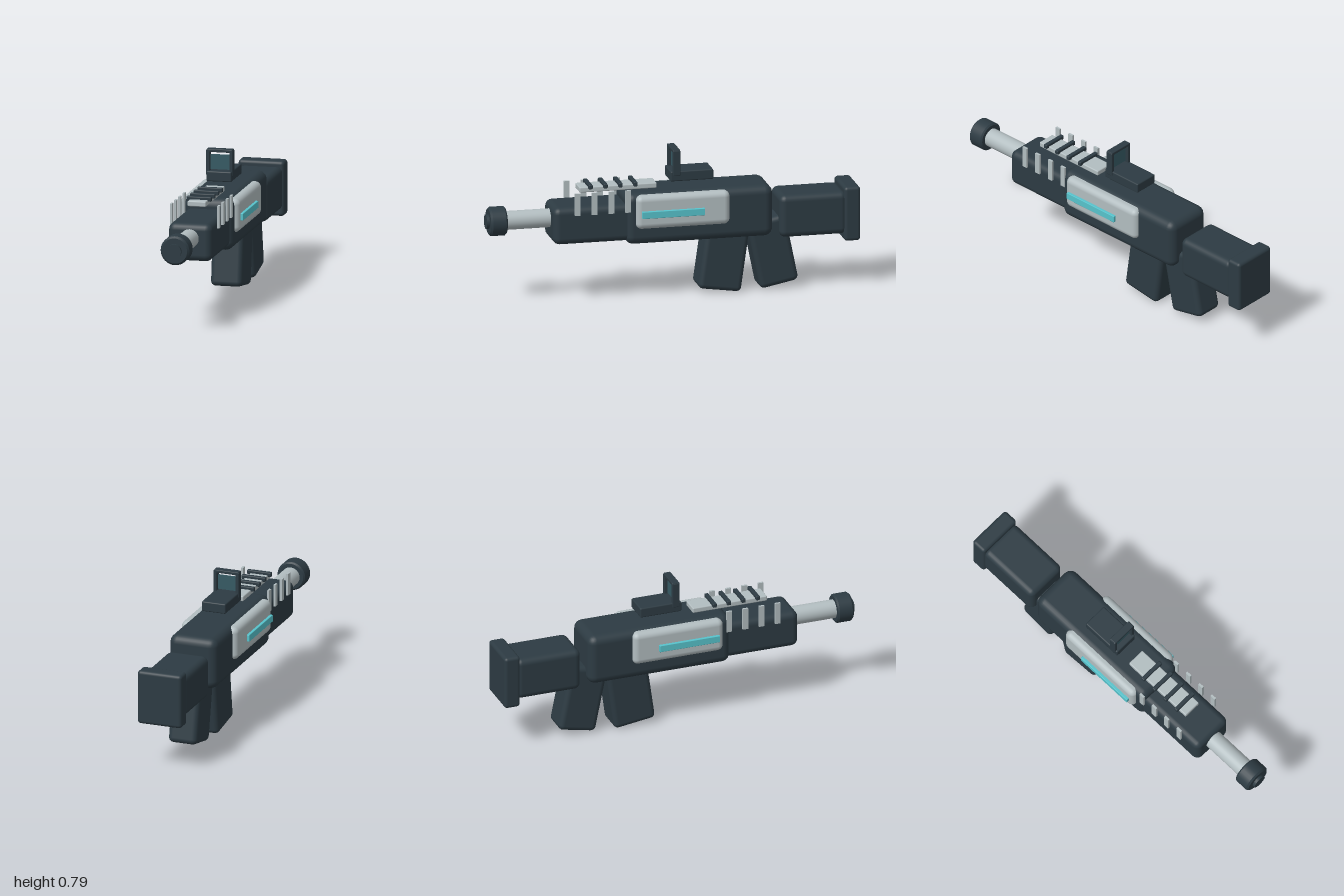
import * as THREE from 'three';
import { RoundedBoxGeometry } from 'three/addons/geometries/RoundedBoxGeometry.js';

const material = (name, color) => {
  const m = new THREE.MeshStandardMaterial({ color });
  m.name = name;
  return m;
};

export function createModel() {
  const dark = material('darkSlate', 0x2d3b43);
  const light = material('paleGrey', 0xb2bdc0);
  const glow = material('cyan', 0x57c3cc);
  const lens = material('tealGlass', 0x365a64);
  const model = new THREE.Group();

  const add = (name, geometry, mat, x, y, z) => {
    const mesh = new THREE.Mesh(geometry, mat);
    mesh.name = name;
    mesh.position.set(x, y, z);
    model.add(mesh);
    return mesh;
  };
  // Box given by its [min, max] on each axis; r is the edge rounding
  const block = (name, mat, [x0, x1], [y0, y1], [z0, z1], r = 0) => {
    const size = [x1 - x0, y1 - y0, z1 - z0];
    const geometry = r ? new RoundedBoxGeometry(...size, 3, r) : new THREE.BoxGeometry(...size);
    return add(name, geometry, mat, (x0 + x1) / 2, (y0 + y1) / 2, (z0 + z1) / 2);
  };
  // Turned part along z from [radius, z] points
  const turned = (name, mat, points) => {
    const profile = points.map(([r, z]) => new THREE.Vector2(r, z));
    // Doubled corners keep the edges crisp
    const crisp = profile.flatMap((p, i) => (i && i < profile.length - 1 ? [p, p.clone()] : [p]));
    const mesh = add(name, new THREE.LatheGeometry(crisp, 32), mat, 0, 0.457, 0);
    mesh.rotation.x = Math.PI / 2;
  };

  // Main housing
  block('receiver', dark, [-0.135, 0.135], [0.313, 0.592], [-0.527, 0.27], 0.045);
  block('handguard', dark, [-0.118, 0.118], [0.333, 0.535], [0.2, 0.657], 0.036);
  block('stock', dark, [-0.118, 0.118], [0.295, 0.525], [-0.93, -0.567], 0.034);
  block('buttPad', dark, [-0.125, 0.125], [0.258, 0.553], [-1, -0.912], 0.018);

  // Slanted magazine and grip
  const magazine = add('magazine', new RoundedBoxGeometry(0.17, 0.36, 0.232, 3, 0.026), dark, 0, 0.199, -0.274);
  magazine.rotation.x = -0.14;
  const grip = add('grip', new RoundedBoxGeometry(0.16, 0.37, 0.212, 3, 0.028), dark, 0, 0.212, -0.538);
  grip.rotation.x = 0.2;

  // Barrel and muzzle
  turned('barrel', light, [[0, 0.6], [0.05, 0.6], [0.05, 0.92], [0, 0.92]]);
  turned('muzzle', dark, [[0, 0.895], [0.07, 0.895], [0.078, 0.903], [0.078, 0.975], [0.068, 0.985], [0, 0.985]]);
  turned('muzzleBore', dark, [[0, 0.97], [0.038, 0.97], [0.038, 1], [0, 1]]);

  // Side panels, light strips and cooling fins, mirrored
  for (const [side, s] of [['left', 1], ['right', -1]]) {
    const span = (a, b) => (s > 0 ? [a, b] : [-b, -a]);
    block(side + 'Panel', light, span(0.08, 0.161), [0.402, 0.584], [-0.288, 0.22], 0.032);
    block(side + 'LightStrip', glow, span(0.145, 0.176), [0.466, 0.504], [-0.147, 0.192], 0.003);
    for (let i = 0; i < 4; i++) {
      const z = 0.532 - i * 0.091;
      block(side + 'Fin', light, span(0.122, 0.134), [0.495, 0.615], [z - 0.015, z + 0.015]);
    }
  }

  // Top rail with cross bars
  block('topRail', light, [-0.05, 0.05], [0.596, 0.625], [0.085, 0.503], 0.006);
  for (let i = 0; i < 4; i++) {
    const z = 0.203 + i * 0.081;
    block('railBar', dark, [-0.068, 0.068], [0.616, 0.64], [z - 0.011, z + 0.011], 0.005);
  }

  // Sight: base, window frame and glass
  block('sightBase', dark, [-0.068, 0.068], [0.63, 0.685], [-0.217, 0.015], 0.007);
  for (const s of [-1, 1]) {
    const x = s * 0.0625;
    block('sightPost', dark, [x - 0.0095, x + 0.0095], [0.66, 0.798], [-0.037, 0.003], 0.004);
  }
  block('sightTopBar', dark, [-0.07, 0.07], [0.785, 0.802], [-0.037, 0.003], 0.004);
  block('sightGlass', lens, [-0.051, 0.051], [0.691, 0.771], [-0.02, -0.014]);

  return model;
}
